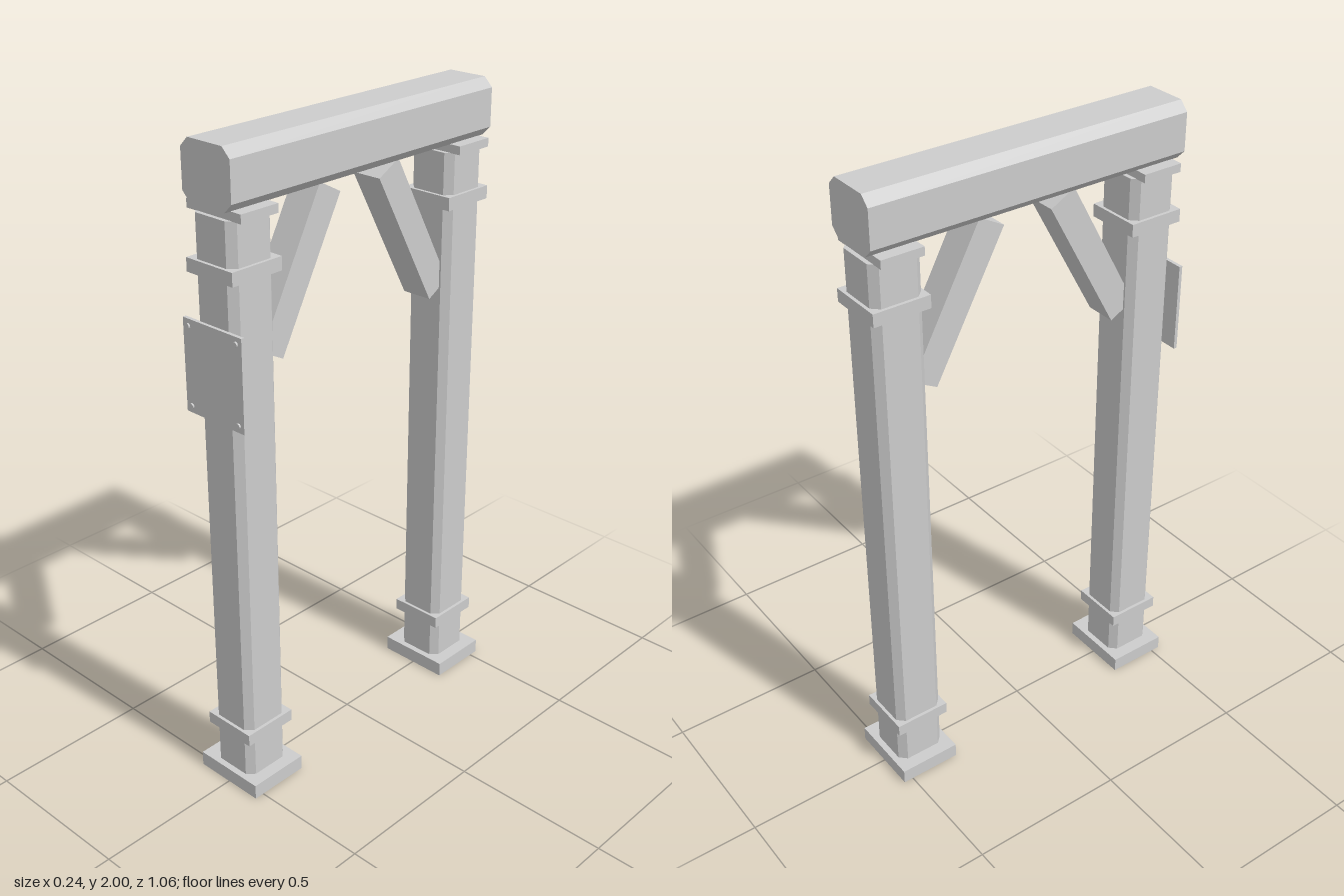
import * as THREE from 'three';

// Prism with a chamfered rectangular section, extruded along z and centred
function chamferedPrism(w, h, depth, c) {
  const x = w / 2, y = h / 2;
  const shape = new THREE.Shape([
    [-x + c, -y], [x - c, -y], [x, -y + c], [x, y - c],
    [x - c, y], [-x + c, y], [-x, y - c], [-x, -y + c],
  ].map(([a, b]) => new THREE.Vector2(a, b)));
  const geo = new THREE.ExtrudeGeometry(shape, { depth, bevelEnabled: false });
  return geo.translate(0, 0, -depth / 2);
}

export function createModel() {
  const model = new THREE.Group();
  model.name = 'gate';
  const grey = new THREE.MeshStandardMaterial({ color: 0xcccccc });
  grey.name = 'plain grey';

  function add(parent, name, geo, x, y, z) {
    const mesh = new THREE.Mesh(geo, grey);
    mesh.name = name;
    mesh.position.set(x, y, z);
    parent.add(mesh);
    return mesh;
  }
  const box = (w, h, d) => new THREE.BoxGeometry(w, h, d);

  // Top beam
  add(model, 'beam', chamferedPrism(0.184, 0.172, 1.037, 0.028), 0, 1.914, 0);

  // Two posts, each with base, collars, cap and diagonal brace
  for (const side of [1, -1]) {
    const post = new THREE.Group();
    post.name = side > 0 ? 'frontPost' : 'backPost';
    model.add(post);
    const z = side * 0.432;
    add(post, 'base', box(0.238, 0.047, 0.197), 0, 0.0235, z);
    const shaft = chamferedPrism(0.156, 0.158, 1.757, 0.022).rotateX(Math.PI / 2);
    add(post, 'shaft', shaft, 0, 0.9255, z);
    add(post, 'lowerCollar', box(0.176, 0.038, 0.178), 0, 0.194, z);
    add(post, 'upperCollar', box(0.176, 0.04, 0.178), 0, 1.657, z);
    add(post, 'cap', box(0.206, 0.026, 0.132), 0, 1.816, z);
    const brace = add(post, 'brace', box(0.1, 0.482, 0.09), 0, 1.595, side * 0.234);
    brace.rotation.x = -side * 0.498;
  }

  // Sign plate on the front post, fixed with four bolts
  const sign = new THREE.Group();
  sign.name = 'sign';
  model.add(sign);
  add(sign, 'signPlate', box(0.228, 0.278, 0.011), 0, 1.364, 0.5155);
  const boltGeo = new THREE.CylinderGeometry(0.008, 0.008, 0.006, 10).rotateX(Math.PI / 2);
  for (const x of [-0.093, 0.093]) {
    for (const y of [1.246, 1.482]) add(sign, 'bolt', boltGeo, x, y, 0.5235);
  }
  return model;
}
